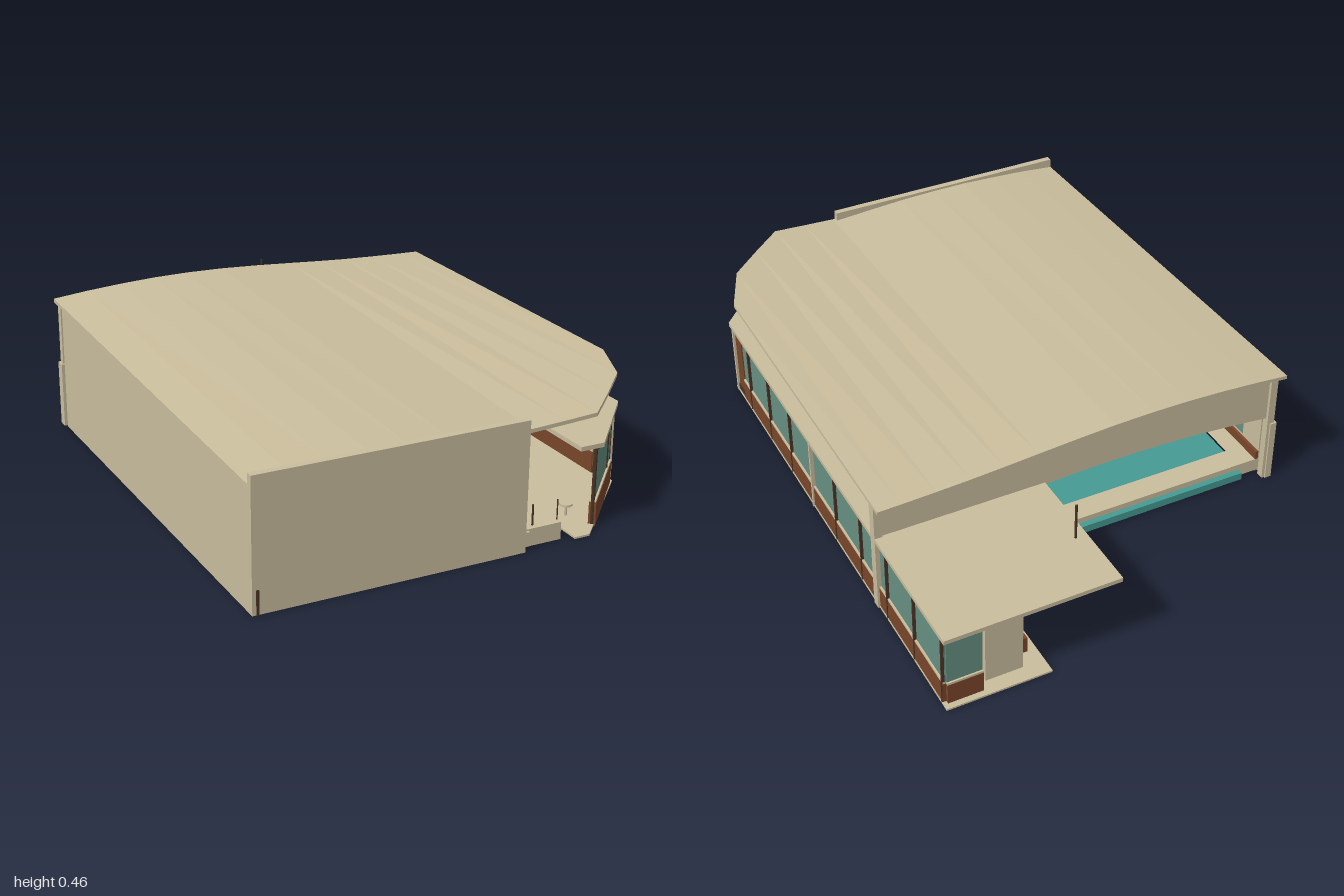
import * as THREE from 'three';

const mat = (name, color, side = THREE.FrontSide) => {
  const m = new THREE.MeshStandardMaterial({ color, side });
  m.name = name;
  return m;
};

export function createModel() {
  const model = new THREE.Group();
  model.name = 'swimmingHall';
  const cream = mat('cream plaster', 0xcabe9d);
  const brick = mat('red brown brick', 0x7a462b);
  const glass = mat('green glass', 0x678f82, THREE.DoubleSide);
  const water = mat('pool water', 0x469a94);
  const dark = mat('dark frame', 0x4a3325);

  const add = (name, geo, material, x = 0, y = 0, z = 0, parent = model) => {
    const m = new THREE.Mesh(geo, material);
    m.name = name;
    m.position.set(x, y, z);
    parent.add(m);
    return m;
  };
  // box given by its limits on each axis
  const box = (name, material, x0, x1, y0, y1, z0, z1) =>
    add(name, new THREE.BoxGeometry(x1 - x0, y1 - y0, z1 - z0), material,
      (x0 + x1) / 2, (y0 + y1) / 2, (z0 + z1) / 2);
  // horizontal slab from an outline of [x, z] points
  const slab = (name, material, pts, y0, y1, hole) => {
    const shape = new THREE.Shape(pts.map(([x, z]) => new THREE.Vector2(x, -z)));
    if (hole) shape.holes.push(new THREE.Path(hole.map(([x, z]) => new THREE.Vector2(x, -z))));
    const g = new THREE.ExtrudeGeometry(shape, { depth: y1 - y0, bevelEnabled: false });
    g.rotateX(-Math.PI / 2);
    return add(name, g, material, 0, y0, 0);
  };
  // upright panel between two plan points
  const panel = (name, material, [xa, za], [xb, zb], y0, y1, t) => {
    const len = Math.hypot(xb - xa, zb - za);
    const m = add(name, new THREE.BoxGeometry(len, y1 - y0, t), material,
      (xa + xb) / 2, (y0 + y1) / 2, (za + zb) / 2);
    m.rotation.y = Math.atan2(za - zb, xb - xa);
    return m;
  };
  const pole = (name, x, z, y0, y1, r, material = cream) =>
    add(name, new THREE.CylinderGeometry(r, r, y1 - y0, 8), material, x, (y0 + y1) / 2, z);

  // Roof: [x, rear height, drop towards the front, front z]
  const thick = 0.012, back = -0.58;
  const stations = [
    [-0.69, 0.430, 0.052, 0.995], [-0.57, 0.441, 0.052, 0.995], [-0.45, 0.449, 0.053, 0.995],
    [-0.33, 0.454, 0.053, 0.995], [-0.21, 0.455, 0.054, 0.995], [-0.08, 0.452, 0.055, 0.995],
    [0.05, 0.445, 0.056, 0.995], [0.18, 0.436, 0.056, 0.995], [0.29, 0.428, 0.043, 0.995],
    [0.40, 0.421, 0.03, 0.995], [0.51, 0.416, 0.02, 0.89], [0.62, 0.412, 0.009, 0.78],
    [0.695, 0.410, 0.003, 0.60]];
  const pos = [], index = [];
  for (const [x, h, drop, zf] of stations) {
    const yf = h - drop * (zf - back) / 1.58;
    pos.push(x, h, back, x, yf, zf, x, yf - thick, zf, x, h - thick, back);
  }
  for (let i = 0; i < stations.length - 1; i++) {
    for (let j = 0; j < 4; j++) {
      const a = i * 4 + j, b = i * 4 + (j + 1) % 4;
      index.push(a, b, b + 4, a, b + 4, a + 4);
    }
  }
  const e = (stations.length - 1) * 4;
  index.push(0, 3, 2, 0, 2, 1, e, e + 1, e + 2, e, e + 2, e + 3);
  let roofGeo = new THREE.BufferGeometry();
  roofGeo.setAttribute('position', new THREE.Float32BufferAttribute(pos, 3));
  roofGeo.setIndex(index);
  roofGeo = roofGeo.toNonIndexed();
  roofGeo.computeVertexNormals();
  add('curvedRoof', roofGeo, cream);

  // Rear gable above the open back
  const gable = new THREE.Shape();
  gable.moveTo(-0.685, 0.235);
  gable.quadraticCurveTo(-0.2, 0.3, 0.3, 0.25);
  gable.lineTo(0.685, 0.25);
  for (const [x, h] of [...stations].reverse()) gable.lineTo(THREE.MathUtils.clamp(x, -0.685, 0.685), h - 0.008);
  add('rearGable', new THREE.ExtrudeGeometry(gable, { depth: 0.02, bevelEnabled: false }), cream, 0, 0, -0.53);

  // Front wall and sloping left hand wall
  box('frontWall', cream, -0.69, 0.172, 0, 0.41, 0.978, 1);
  const side = new THREE.Shape([[0.98, 0], [0.98, 0.374], [-0.5, 0.42], [-0.5, 0]]
    .map(([z, y]) => new THREE.Vector2(-z, y)));
  const sideGeo = new THREE.ExtrudeGeometry(side, { depth: 0.018, bevelEnabled: false });
  sideGeo.rotateY(Math.PI / 2);
  add('longSideWall', sideGeo, cream, -0.69, 0, 0);
  box('innerBrickBase', brick, -0.672, -0.662, 0, 0.08, -0.5, 0.978);
  box('frontBrickCorner', dark, -0.678, -0.67, 0, 0.075, 1, 1.003);
  box('rearPillar', cream, -0.69, -0.665, 0, 0.42, -0.54, -0.515);
  box('rearPillar', cream, 0.665, 0.69, 0, 0.402, -0.535, -0.505);
  box('rearPillarBase', cream, -0.697, -0.675, 0, 0.22, -0.545, -0.51);

  // Arched windows on the inside of the long wall
  for (const z of [0.82, 0.44, 0.07, -0.31]) {
    const arch = new THREE.Shape();
    arch.moveTo(-0.1, 0.09);
    arch.lineTo(0.1, 0.09);
    arch.lineTo(0.1, 0.22);
    arch.absarc(0, 0.22, 0.1, 0, Math.PI, false);
    const pane = add('archedWindow', new THREE.ShapeGeometry(arch, 16), glass, -0.669, 0, z);
    pane.rotation.y = Math.PI / 2;
    const rim = add('windowArch', new THREE.TorusGeometry(0.102, 0.006, 6, 20, Math.PI), cream, -0.668, 0.22, z);
    rim.rotation.y = Math.PI / 2;
  }

  // Pool with its raised deck
  const pool = [[-0.6, -0.42], [0.1, -0.42], [0.1, 0.74], [-0.6, 0.74]];
  slab('poolDeck', cream, [[-0.672, -0.5], [0.2, -0.5], [0.2, 0.978], [-0.672, 0.978]], 0.004, 0.05, pool);
  box('pool', water, -0.6, 0.1, 0.004, 0.042, -0.42, 0.74);
  box('poolEndStep', water, -0.6, 0.1, 0.004, 0.03, -0.52, -0.5);
  box('frontTerrace', cream, 0.17, 0.312, 0, 0.055, 0.4, 0.97);
  box('innerBench', cream, 0.2, 0.27, 0, 0.055, -0.5, 0.4);
  box('rearStep', cream, 0.2, 0.32, 0, 0.04, -0.72, -0.56);
  box('rearStep', cream, 0.14, 0.3, 0.02, 0.065, -0.54, -0.4);

  // Low wing: floor, flat roof and eaves
  slab('wingFloor', cream, [[0.35, -1], [0.685, -1], [0.685, 0.7], [0.4, 0.99], [0.35, 0.99]], 0, 0.006);
  slab('wingRoof', cream, [[0.13, -1], [0.69, -1], [0.69, 0.7], [0.46, 0.955], [0.38, 0.955],
    [0.38, -0.42], [0.13, -0.42]], 0.258, 0.272);
  box('eavesStrip', brick, 0.132, 0.138, 0.246, 0.258, -0.99, -0.42);
  box('rearEavesStrip', brick, 0.138, 0.68, 0.25, 0.258, -0.99, -0.98);
  for (const [x, z] of [[0.48, -0.72], [0.46, 0.49]])
    box('floorGrate', dark, x - 0.025, x + 0.025, -0.001, 0.003, z - 0.15, z + 0.15);

  // Wing walls: brick base, glazing, sill and head rails
  const runs = [[[0.445, 0.935], [0.665, 0.7]], [[0.672, 0.62], [0.672, -0.97]], [[0.672, -0.97], [0.56, -0.97]]];
  for (const [a, b] of runs) {
    panel('brickBase', brick, a, b, 0, 0.076, 0.022);
    panel('sill', cream, a, b, 0.076, 0.083, 0.02);
    panel('glazing', glass, a, b, 0.083, 0.25, 0.008);
    panel('headRail', dark, a, b, 0.246, 0.258, 0.018);
  }
  const mullions = [0.55, 0.365, 0.175, -0.2, -0.4, -0.59, -0.78, -0.966];
  for (const z of mullions) box('mullion', dark, 0.664, 0.685, 0.0, 0.25, z - 0.003, z + 0.003);
  box('paleMullion', cream, 0.664, 0.688, 0.0, 0.258, -0.017, -0.008);
  for (const [x, z] of [[0.447, 0.933], [0.62, 0.75], [0.665, 0.7]]) pole('frontMullion', x, z, 0, 0.25, 0.006, dark);
  box('door', brick, 0.664, 0.68, 0.03, 0.25, 0.62, 0.675);
  box('doorSill', dark, 0.664, 0.682, 0, 0.03, 0.62, 0.69);
  box('doorPost', cream, 0.668, 0.686, 0, 0.258, 0.68, 0.692);

  // Rooms and benches inside the rear of the wing
  box('rearRoom', cream, 0.42, 0.54, 0.006, 0.256, -0.95, -0.9);
  box('counter', brick, 0.38, 0.42, 0.006, 0.06, -0.9, -0.45);
  for (let i = 0; i < 3; i++)
    box('bench', water, 0.42, 0.62, 0.04, 0.055, -0.86 + i * 0.14, -0.78 + i * 0.14);

  // Slender poles, lamp posts, terrace posts and table
  for (const [z, y0, y1] of [[-0.79, 0.27, 0.395], [-0.3, 0.05, 0.385], [0.17, 0.05, 0.37], [0.67, 0.05, 0.35]])
    pole('slenderPole', 0.168, z, y0, y1, 0.004, dark);
  for (const z of [0.69, 0.22, -0.28]) {
    pole('lampPost', 0.28, z, 0, 0.29, 0.006);
    box('lampBox', cream, 0.27, 0.29, 0.175, 0.205, z - 0.01, z + 0.01);
    box('lampHead', cream, 0.268, 0.292, 0.275, 0.298, z - 0.014, z + 0.014);
  }
  pole('railPost', 0.225, 0.95, 0, 0.12, 0.003, dark);
  pole('railPost', 0.31, 0.95, 0.05, 0.12, 0.002, dark);
  pole('tableLeg', 0.41, 0.85, 0, 0.042, 0.004);
  pole('tableTop', 0.41, 0.85, 0.04, 0.046, 0.02);
  return model;
}
